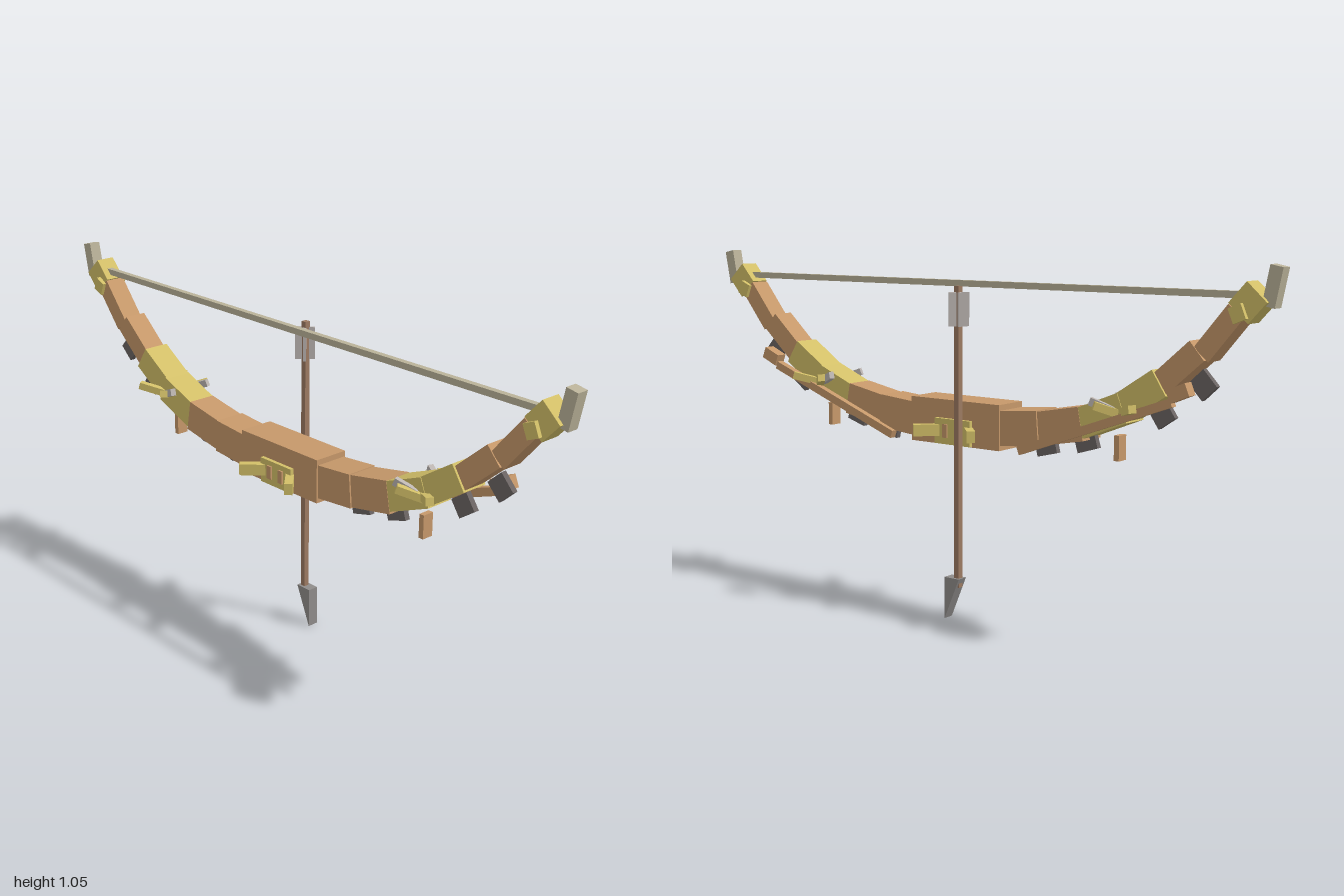
import * as THREE from 'three';

const mat = (name, color) => {
  const m = new THREE.MeshStandardMaterial({ color });
  m.name = name;
  return m;
};

export function createModel() {
  const wood = mat('tan wood', 0xc6986a);
  const gold = mat('gold', 0xd2bf68);
  const bone = mat('pale bone', 0xbab299);
  const iron = mat('dark iron', 0x6b6463);
  const steel = mat('grey steel', 0x8f8c8a);
  const silver = mat('silver feather', 0xbdb6b2);
  const shaftWood = mat('shaft wood', 0x9c7a62);

  const root = new THREE.Group();
  root.name = 'bowAndArrow';

  // Box at a centre, tilted about x (positive tilt rises towards +z)
  const box = (name, m, [x, y, z], [w, h, d], tilt = 0) => {
    const mesh = new THREE.Mesh(new THREE.BoxGeometry(w, h, d), m);
    mesh.name = name;
    mesh.position.set(x, y, z);
    mesh.rotation.x = -tilt;
    root.add(mesh);
    return mesh;
  };
  // Box running between two points, with a width and a height
  const bar = (name, m, a, b, w, h) => {
    const from = new THREE.Vector3(...a), to = new THREE.Vector3(...b);
    const mesh = box(name, m, from.clone().add(to).multiplyScalar(0.5).toArray(), [w, h, from.distanceTo(to)]);
    mesh.lookAt(to);
    return mesh;
  };

  // Grip with side plates and diagonal guards
  box('grip', wood, [0, 0.574, 0], [0.11, 0.132, 0.324]);
  for (const x of [-1, 1]) {
    box('gripPlate', gold, [x * 0.06, 0.548, 0], [0.014, 0.075, 0.13]);
    for (const z of [-1, 1]) {
      box('gripInlay', wood, [x * 0.069, 0.55, z * 0.024], [0.006, 0.04, 0.018]);
      bar('gripGuard', gold, [x * 0.045, 0.55, z * 0.04], [x * 0.113, 0.55, z * 0.107], 0.024, 0.034);
    }
  }

  // Limb pieces: material, start (y, z), end (y, z), width, height
  const limb = [
    ['innerLimb', wood, 0.572, 0.15, 0.584, 0.29, 0.1, 0.1],
    ['innerLimb', wood, 0.58, 0.27, 0.61, 0.43, 0.09, 0.095],
    ['limbBand', gold, 0.605, 0.41, 0.665, 0.56, 0.088, 0.085],
    ['limbBand', gold, 0.652, 0.535, 0.74, 0.67, 0.084, 0.08],
    ['outerLimb', wood, 0.725, 0.655, 0.83, 0.775, 0.07, 0.066],
    ['outerLimb', wood, 0.82, 0.785, 0.935, 0.88, 0.064, 0.056],
    ['limbTip', gold, 0.93, 0.885, 0.985, 0.935, 0.06, 0.076],
    ['nock', bone, 0.948, 0.96, 1.05, 0.98, 0.036, 0.036],
  ];
  // Iron fins below the limb: y, z, height, length, tilt
  const fins = [
    [0.74, 0.78, 0.06, 0.058, 0.75],
    [0.652, 0.662, 0.055, 0.06, 0.6],
    [0.553, 0.425, 0.045, 0.068, 0.3],
    [0.525, 0.292, 0.04, 0.068, 0.25],
  ];

  for (const s of [-1, 1]) {
    for (const [name, m, y0, z0, y1, z1, w, h] of limb)
      bar(name, m, [0, y0, s * z0], [0, y1, s * z1], w, h);
    for (const [y, z, h, d, t] of fins)
      box('ironFin', iron, [0, y, s * z], [0.017, h, d], s * t);

    box('tipKnob', gold, [0, 0.93, s * 0.888], [0.086, 0.042, 0.038], s * 0.4);
    box('hangingTab', wood, [0, 0.55, s * 0.53], [0.036, 0.07, 0.016]);

    // Slat along one side of the limb
    bar('sideSlat', wood, [0.054, 0.518, s * 0.235], [0.054, 0.695, s * 0.72], 0.022, 0.024);
    box('slatEnd', wood, [0.054, 0.722, s * 0.742], [0.034, 0.036, 0.06], s * 0.4);

    // Spread wings on the gold band
    for (const x of [-1, 1]) {
      bar('wing', gold, [x * 0.035, 0.65, s * 0.55], [x * 0.088, 0.672, s * 0.62], 0.022, 0.022);
      bar('wing', gold, [x * 0.035, 0.645, s * 0.56], [x * 0.088, 0.672, s * 0.5], 0.022, 0.022);
      bar('wingFeather', silver, [x * 0.045, 0.655, s * 0.535], [x * 0.068, 0.68, s * 0.475], 0.016, 0.022);
    }
  }

  // String
  box('string', bone, [0, 0.975, 0], [0.018, 0.018, 1.79]);

  // Arrow beside the grip
  box('arrowShaft', shaftWood, [0.087, 0.535, -0.04], [0.017, 0.875, 0.017]);
  for (const a of [-1, 1]) {
    const f = box('fletching', silver, [0.087, 0.907, -0.043], [0.058, 0.096, 0.009]);
    f.rotation.y = a * Math.PI / 4;
  }
  // Wedge-shaped head, its profile drawn in z and y
  const profile = new THREE.Shape([[0, 0], [0.053, 0.125], [0, 0.125]].map(p => new THREE.Vector2(...p)));
  const head = new THREE.Mesh(new THREE.ExtrudeGeometry(profile, { depth: 0.034, bevelEnabled: false }), steel);
  head.name = 'arrowHead';
  head.rotation.y = Math.PI / 2;
  head.position.set(0.07, 0, -0.002);
  root.add(head);

  return root;
}
